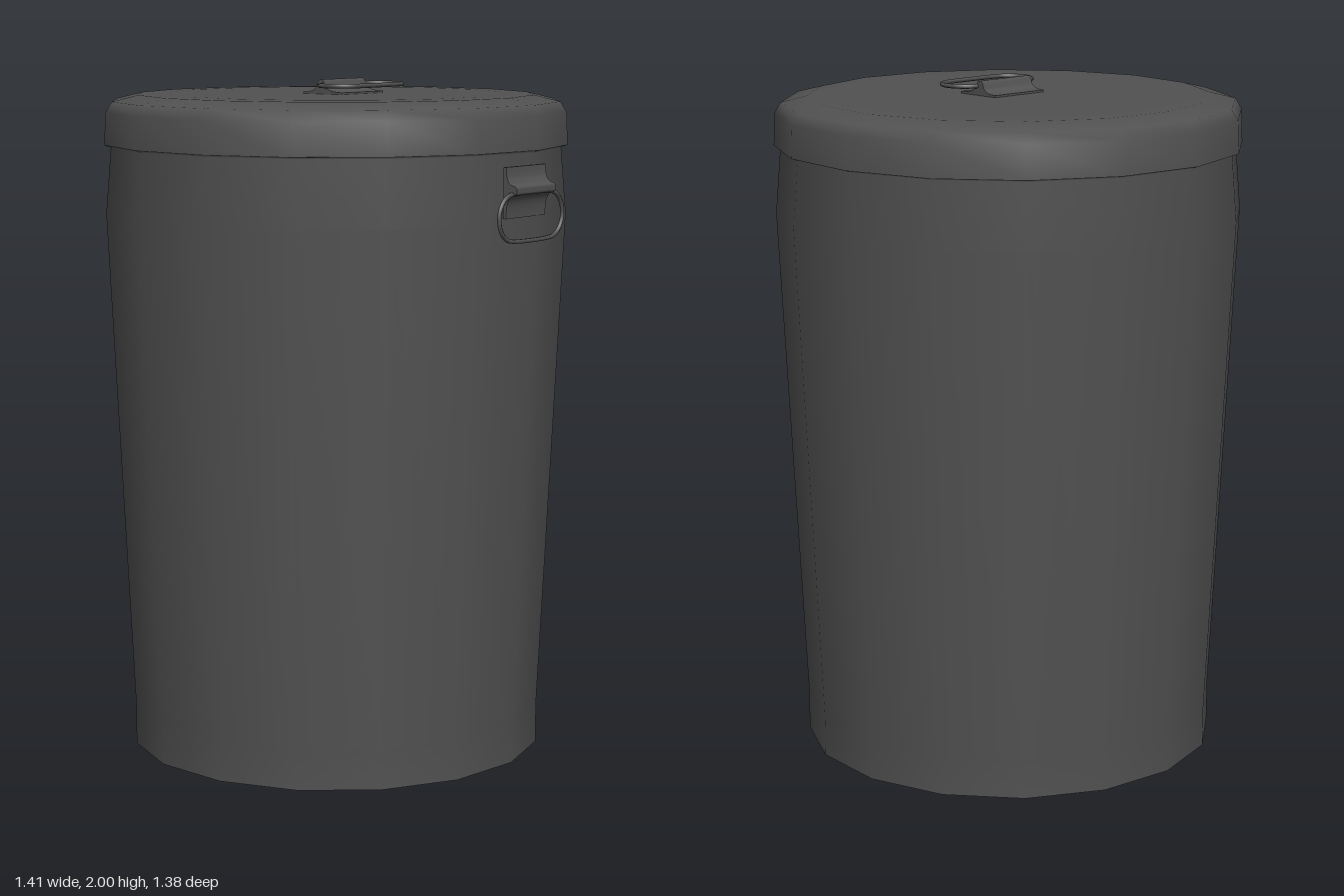
import * as THREE from 'three';
import { toCreasedNormals } from 'three/addons/utils/BufferGeometryUtils.js';

const material = new THREE.MeshStandardMaterial({ color: 0x515151, side: THREE.DoubleSide });
const SIDES = 16, TWIST = 0.1, CENTRE_X = -0.02;

function part(parent, name, geometry) {
  const mesh = new THREE.Mesh(geometry, material);
  mesh.name = name;
  parent.add(mesh);
  return mesh;
}

// Sixteen-sided turned part from [radius, height] pairs, listed bottom to top
function turned(parent, name, profile) {
  const points = profile.map(([r, y]) => new THREE.Vector2(r, y));
  part(parent, name, new THREE.LatheGeometry(points, SIDES, TWIST)).position.x = CENTRE_X;
}

// Pressed metal clip with a ridge holding a stadium-shaped pull ring
function makeHandle(name) {
  const handle = new THREE.Group();
  handle.name = name;

  const outline = new THREE.Shape();
  outline.moveTo(-0.065, -0.004);
  outline.lineTo(-0.065, 0.005);
  outline.quadraticCurveTo(-0.018, 0.005, -0.014, 0.028);
  outline.absarc(0, 0.028, 0.014, Math.PI, 0, true);
  outline.quadraticCurveTo(0.018, 0.005, 0.08, 0.005);
  outline.lineTo(0.08, -0.004);
  outline.closePath();
  const clip = new THREE.ExtrudeGeometry(outline, { depth: 0.195, bevelEnabled: false, curveSegments: 6 });
  clip.translate(0, 0, -0.1);
  part(handle, 'handleClip', toCreasedNormals(clip, 0.8));

  const path = [];
  for (const end of [1, -1]) {
    for (let i = 0; i <= 8; i++) {
      const a = (i / 8) * Math.PI;
      path.push(new THREE.Vector3(0.076 + end * 0.066 * Math.cos(a), 0.026, end * (0.091 + 0.066 * Math.sin(a))));
    }
  }
  const curve = new THREE.CatmullRomCurve3(path, true);
  part(handle, 'pullRing', new THREE.TubeGeometry(curve, 64, 0.0065, 6, true));
  return handle;
}

export function createModel() {
  const model = new THREE.Group();
  model.name = 'bin';

  // Open-bottomed tapered body: straight foot, drawn-in shoulder, flare out to the lid rim
  turned(model, 'body', [[0.618, 0], [0.618, 0.12], [0.688, 1.61], [0.672, 1.803], [0.69, 1.81]]);

  // Lid with a short skirt and rounded shoulder
  turned(model, 'lid', [[0.691, 1.81], [0.687, 1.905], [0.668, 1.936], [0.59, 1.955], [0.5, 1.956], [0, 1.956]]);

  // One handle on the lid, one on the body's left side
  const lidHandle = makeHandle('lidHandle');
  lidHandle.position.set(0, 1.957, 0);
  const sideHandle = makeHandle('sideHandle');
  sideHandle.position.set(0.66, 1.705, 0);
  sideHandle.rotation.z = -Math.PI / 2;
  model.add(lidHandle, sideHandle);

  return model;
}
